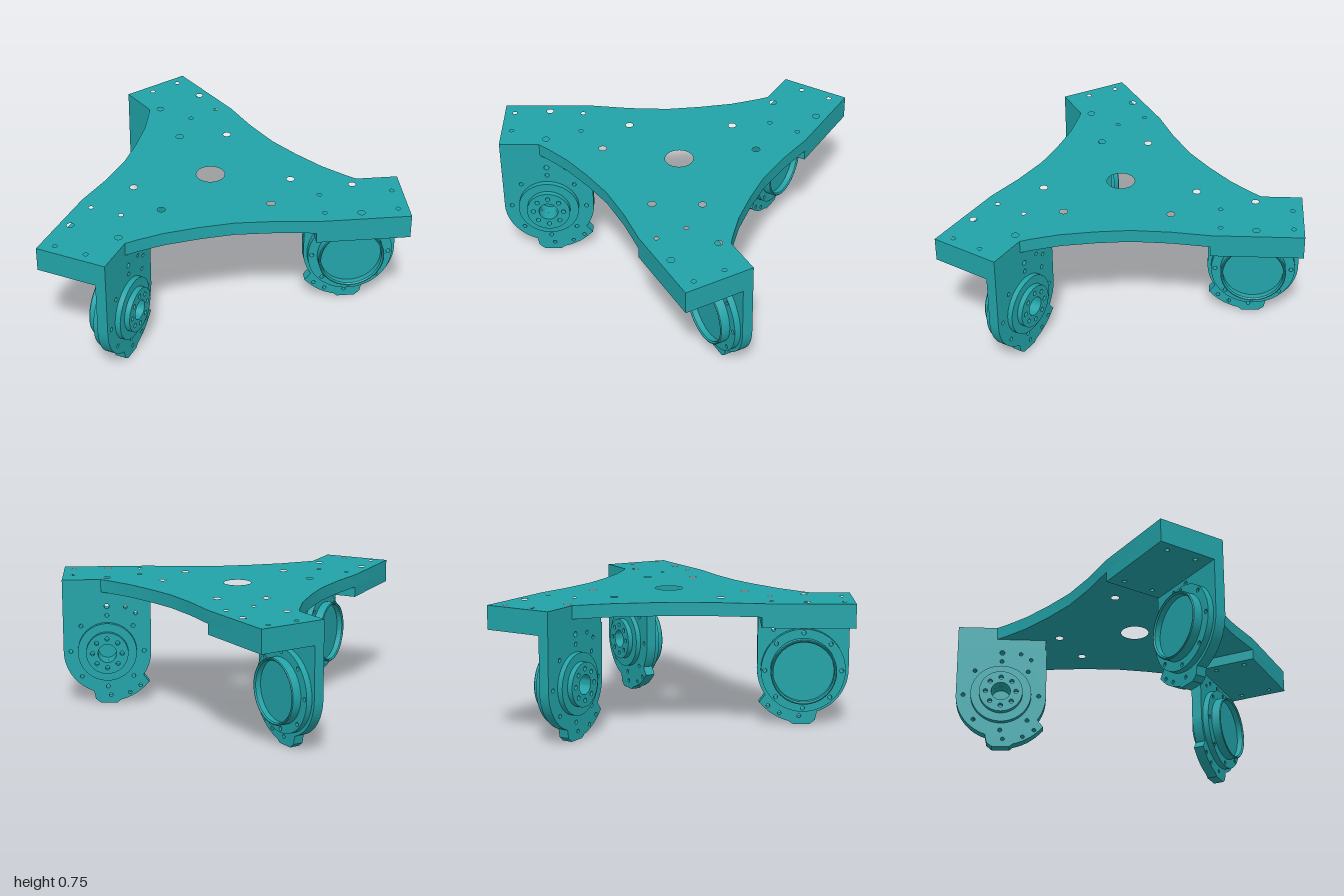
import * as THREE from 'three';
import { toCreasedNormals } from 'three/addons/utils/BufferGeometryUtils.js';

const material = new THREE.MeshStandardMaterial({ color: 0x22a3a8 });
const TURN = Math.PI * 2;
const rad = THREE.MathUtils.degToRad;
const AXLE_X = 0.768, AXLE_Y = 0.32;

function mesh(name, geometry) {
  const m = new THREE.Mesh(toCreasedNormals(geometry, 0.45), material);
  m.name = name;
  return m;
}

function drill(shape, x, y, r) {
  shape.holes.push(new THREE.Path().absarc(x, y, r, 0, TURN, true));
}

function drillCircle(shape, count, ringRadius, r) {
  for (let i = 0; i < count; i++) {
    const a = (i / count) * TURN;
    drill(shape, Math.cos(a) * ringRadius, Math.sin(a) * ringRadius, r);
  }
}

function disc(r) {
  return new THREE.Shape().absarc(0, 0, r, 0, TURN, false);
}

// Extrude along z between two depths
function slab(shape, z0, z1, curveSegments = 20) {
  return new THREE.ExtrudeGeometry(shape, { depth: z1 - z0, bevelEnabled: false, curveSegments })
    .translate(0, 0, z0);
}

// Extrude upward between two heights; shape y becomes -z
function layer(shape, y0, y1) {
  return slab(shape, y0, y1, 12).rotateX(-Math.PI / 2);
}

// Positions on one arm (x outward, z sideways) measured from the centre hole
const screwHoles = [[0.57, 0.27], [0.97, 0.27], [0.57, 0.45], [0.97, 0.45]];
const blindHoles = [[0.765, 0.185], [0.765, 0.47]];
const mountHoles = [[0.435, 0.095], [0.295, 0.33]];
const armEdge = [[0.8, 0.13], [1.028, 0.13], [1.028, 0.53], [0.52, 0.53], [0.3, 0.505],
  [0.08, 0.498], [-0.11, 0.52], [-0.3, 0.555], [-0.45, 0.603]];

function turned([x, z], i) {
  const c = Math.cos(i * TURN / 3), s = Math.sin(i * TURN / 3);
  return [x * c - z * s, x * s + z * c];
}

// Three-armed deck with curved-in sides
function deck() {
  const pts = [];
  for (let i = 0; i < 3; i++) {
    for (const p of armEdge) {
      const [x, z] = turned(p, i);
      pts.push(new THREE.Vector2(x, -z));
    }
  }
  const shape = new THREE.Shape(pts);
  drill(shape, 0, 0, 0.08);
  for (let i = 0; i < 3; i++) {
    for (const [list, r] of [[screwHoles, 0.013], [blindHoles, 0.02], [mountHoles, 0.022]]) {
      for (const p of list) {
        const [x, z] = turned(p, i);
        drill(shape, x, -z, r);
      }
    }
  }
  return mesh('deck', layer(shape, 0.68, 0.755));
}

// Thickening block under the arm end
function pad() {
  const shape = new THREE.Shape([[0.515, -0.53], [1.028, -0.53], [1.028, -0.13], [0.515, -0.13]]
    .map(([x, y]) => new THREE.Vector2(x, y)));
  for (const [x, z] of screwHoles) drill(shape, x, -z, 0.013);
  return mesh('armPad', layer(shape, 0.62, 0.68));
}

// Hanging plate: square top, round bottom, stop tab on the lower left
function bracketPlate() {
  const s = new THREE.Shape();
  s.moveTo(-0.26, 0.30);
  s.lineTo(-0.26, 0);
  s.absarc(0, 0, 0.26, Math.PI, rad(215), false);
  s.lineTo(-0.247, -0.195);
  s.absarc(0, 0, 0.312, rad(220), rad(256), false);
  s.lineTo(-0.055, -0.32);
  s.lineTo(0.045, -0.32);
  s.lineTo(0.075, -0.295);
  s.lineTo(0.085, -0.246);
  s.absarc(0, 0, 0.26, rad(-71), 0, false);
  s.lineTo(0.26, 0.30);
  drill(s, 0, 0, 0.055);
  drillCircle(s, 8, 0.218, 0.012);
  for (const [x, y] of [[-0.17, 0.23], [-0.11, 0.267], [-0.195, -0.214], [-0.13, -0.257], [-0.017, -0.273]]) {
    drill(s, x, y, 0.011);
  }
  drill(s, 0, 0.273, 0.015);
  return mesh('bracketPlate', slab(s, 0.13, 0.19, 14));
}

// Bracket with drive hub behind and bearing housing in front
function bracket() {
  const g = new THREE.Group();
  g.name = 'wheelBracket';
  g.position.set(AXLE_X, AXLE_Y, 0);
  g.add(bracketPlate());

  const flange = disc(0.24);
  drillCircle(flange, 8, 0.218, 0.012);
  g.add(mesh('housingFlange', slab(flange, 0.19, 0.225, 28)));

  // Rim with a shallow recess
  const rim = [[0.187, 0.225], [0.187, 0.275], [0.183, 0.28], [0.179, 0.28], [0.172, 0.273],
    [0.172, 0.24], [0, 0.24]].map(([r, z]) => new THREE.Vector2(r, z));
  g.add(mesh('housingRim', new THREE.LatheGeometry(rim, 56).rotateX(Math.PI / 2)));

  const hubBase = disc(0.175);
  drill(hubBase, 0, 0, 0.055);
  g.add(mesh('hubBase', slab(hubBase, 0.1, 0.13, 24)));

  const hubFace = disc(0.125);
  drill(hubFace, 0, 0, 0.055);
  drillCircle(hubFace, 8, 0.088, 0.013);
  g.add(mesh('hubFace', slab(hubFace, 0.07, 0.1, 24)));
  return g;
}

export function createModel() {
  const model = new THREE.Group();
  model.name = 'threeArmChassis';
  const body = new THREE.Group();
  body.name = 'chassis';
  body.position.set(-0.028, 0, 0.165);
  body.add(deck());
  for (let i = 0; i < 3; i++) {
    const arm = new THREE.Group();
    arm.name = 'arm';
    arm.rotation.y = i * TURN / 3;
    arm.add(pad(), bracket());
    body.add(arm);
  }
  model.add(body);
  return model;
}
